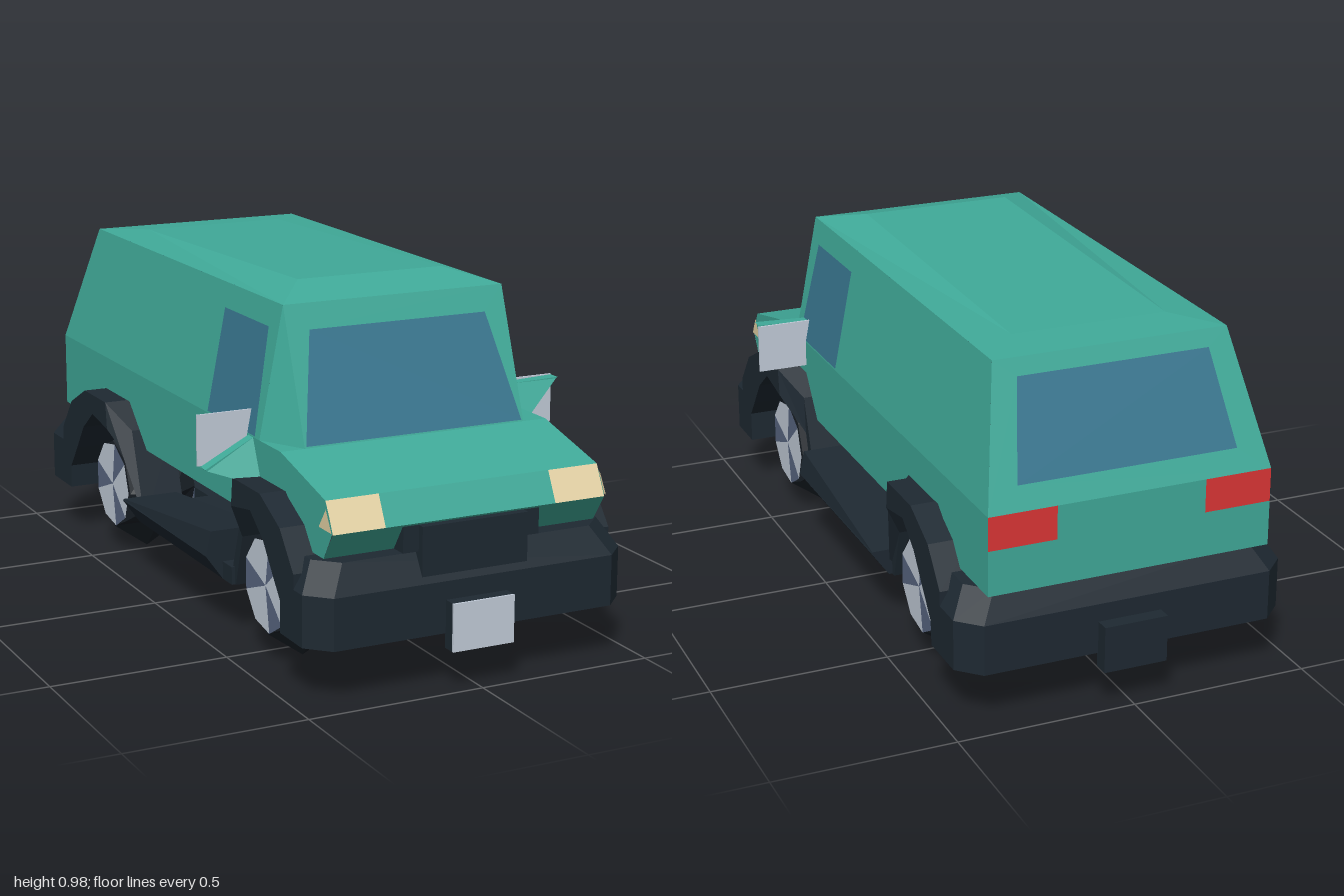
import * as THREE from 'three';

const mat = (name, color, side = THREE.FrontSide) => {
  const m = new THREE.MeshStandardMaterial({ color, side });
  m.name = name;
  return m;
};

export function createModel() {
  const van = new THREE.Group();
  van.name = 'van';
  const teal = mat('teal paint', 0x40aa99, THREE.DoubleSide);
  const glass = mat('blue glass', 0x397790, THREE.DoubleSide);
  const trim = mat('dark trim', 0x1e2932);
  const rubber = mat('tyre rubber', 0x1a2128);
  const silver = mat('silver', 0xc4cedb, THREE.DoubleSide);
  const slate = mat('slate', 0x5a6884, THREE.DoubleSide);
  const beige = mat('headlight beige', 0xe8d6a8, THREE.DoubleSide);
  const red = mat('tail light red', 0xdc3636, THREE.DoubleSide);

  const add = (name, geometry, material, parent = van) => {
    const mesh = new THREE.Mesh(geometry, material);
    mesh.name = name;
    parent.add(mesh);
    return mesh;
  };

  // Flat-shaded faces from convex polygons, each turned away from a centre point
  const faces = (polys, centre) => {
    const pos = [];
    for (const poly of polys) {
      const p = poly.map((q) => new THREE.Vector3(...q));
      for (let i = 1; i < p.length - 1; i++) {
        const tri = [p[0], p[i], p[i + 1]];
        const n = p[i].clone().sub(p[0]).cross(p[i + 1].clone().sub(p[0]));
        const mid = p[0].clone().add(p[i]).add(p[i + 1]).divideScalar(3).sub(centre);
        if (n.dot(mid) < 0) tri.reverse();
        tri.forEach((v) => pos.push(v.x, v.y, v.z));
      }
    }
    const g = new THREE.BufferGeometry();
    g.setAttribute('position', new THREE.Float32BufferAttribute(pos, 3));
    g.computeVertexNormals();
    return g;
  };

  // Quads joining two outlines of equal point count
  const band = (a, b) => a.map((q, i) => {
    const j = (i + 1) % a.length;
    return [q, a[j], b[j], b[i]];
  });

  // Convex solid through rings of equal point count, with end caps
  const loft = (rings) => {
    const centre = new THREE.Vector3();
    rings.flat().forEach((q) => centre.add(new THREE.Vector3(...q)));
    centre.divideScalar(rings.flat().length);
    const polys = [rings[0], rings[rings.length - 1]];
    for (let r = 0; r < rings.length - 1; r++) polys.push(...band(rings[r], rings[r + 1]));
    return faces(polys, centre);
  };

  const core = new THREE.Vector3(0, 0.5, 0);
  const flip = (poly) => poly.map(([x, y, z]) => [-x, y, z]);
  const panels = (name, material, polys) => add(name, faces(polys, core), material);
  const pair = (name, material, polys) => panels(name, material, [...polys, ...polys.map(flip)]);
  // Symmetric panel across the body from its left half edge
  const across = (half) => [...half, ...flip(half).reverse()];

  // Surfaces of the sloping cabin walls at height y
  const sideX = (y) => 0.4 - (y - 0.588) * 0.196;
  const frontZ = (y) => 0.63 - (y - 0.588) * 0.364;
  const backZ = (y) => -0.96 + (y - 0.588) * 0.392;
  const onSide = (zy, x = 0.4) => zy.map(([z, y]) => [x, y, z]);

  // Lower body sides, cut away over the wheels
  pair('lowerSides', teal, [
    [[-0.96, 0.49], [0.91, 0.49], [0.89, 0.525], [0.63, 0.588], [-0.96, 0.588]],
    [[-0.29, 0.37], [0.33, 0.37], [0.42, 0.49], [-0.42, 0.49]],
    [[-0.96, 0.37], [-0.78, 0.37], [-0.63, 0.49], [-0.96, 0.49]],
    [[0.8, 0.37], [0.88, 0.37], [0.93, 0.45], [0.91, 0.49], [0.66, 0.49]],
  ].map((p) => onSide(p)));
  panels('bonnetAndNose', teal, [
    across([[0.4, 0.588, 0.5], [0.4, 0.588, 0.63]]),
    across([[0.4, 0.588, 0.63], [0.4, 0.525, 0.89]]),
    across([[0.25, 0.525, 0.89], [0.25, 0.445, 0.93]]),
    across([[0.4, 0.445, 0.93], [0.4, 0.37, 0.88]]),
  ]);

  // Cabin shell, with openings filled by flush glass
  const sideGlass = [[0.16, 0.592], [0.47, 0.592], [0.44, 0.878], [0.16, 0.878]].map(([z, y]) => [sideX(y), y, z]);
  const sideEdge = [[-0.96, 0.588], [0.5, 0.588], [0.5, 0.945], [-0.82, 0.945]].map(([z, y]) => [sideX(y), y, z]);
  pair('upperSides', teal, [
    ...band(sideEdge, sideGlass),
    [[0.4, 0.588, 0.5], [0.33, 0.588, 0.63], [0.33, 0.945, 0.5]],
  ]);
  pair('sideWindows', glass, [sideGlass]);

  const frontGlass = across([[0.325, 0.592, frontZ(0.592)], [0.265, 0.878, frontZ(0.878)]]);
  panels('windscreenFrame', teal, band(across([[0.33, 0.588, 0.63], [0.33, 0.945, 0.5]]), frontGlass));
  panels('windscreen', glass, [frontGlass]);

  const rearGlass = across([[0.31, 0.65, backZ(0.65)], [0.27, 0.9, backZ(0.9)]]);
  panels('rearFrame', teal, band(across([[0.4, 0.588, -0.96], [0.33, 0.945, -0.82]]), rearGlass));
  panels('rearWindow', glass, [rearGlass]);
  panels('rearPanel', teal, [
    across([[0.4, 0.37, -0.96], [0.4, 0.495, -0.96]]),
    across([[0.21, 0.495, -0.96], [0.21, 0.588, -0.96]]),
  ]);

  pair('roofSides', teal, [[[0.33, 0.945, 0.5], [0.33, 0.945, -0.82], [0.22, 0.955, -0.69], [0.22, 0.98, 0.36]]]);
  panels('roof', teal, [
    across([[0.22, 0.98, 0.36], [0.22, 0.955, -0.69]]),
    across([[0.33, 0.945, 0.5], [0.22, 0.98, 0.36]]),
    across([[0.33, 0.945, -0.82], [0.22, 0.955, -0.69]]),
  ]);

  // Lamps
  pair('headlights', beige, [
    [[0.25, 0.525, 0.89], [0.4, 0.525, 0.89], [0.4, 0.445, 0.93], [0.25, 0.445, 0.93]],
    onSide([[0.932, 0.45], [0.86, 0.45], [0.9, 0.505]], 0.404),
  ]);
  pair('tailLights', red, [[[0.21, 0.495, -0.96], [0.4, 0.495, -0.96], [0.4, 0.588, -0.96], [0.21, 0.588, -0.96]]]);

  // Boxes: grille, floor and number plates
  const box = (name, material, [w, h, d], [x, y, z]) =>
    add(name, new THREE.BoxGeometry(w, h, d), material).position.set(x, y, z);
  box('grille', trim, [0.31, 0.15, 0.14], [0, 0.365, 0.88]);
  box('grilleSurround', trim, [0.4, 0.07, 0.08], [0, 0.405, 0.89]);
  box('floor', trim, [0.84, 0.05, 0.67], [0, 0.175, 0.025]);
  box('floorSpine', trim, [0.39, 0.05, 1.8], [0, 0.175, 0]);
  box('frontPlateHolder', trim, [0.18, 0.13, 0.036], [0, 0.175, 0.976]);
  box('frontPlate', silver, [0.18, 0.13, 0.006], [0, 0.175, 0.997]);
  box('rearPlateHolder', trim, [0.18, 0.13, 0.045], [0, 0.175, -0.9775]);

  // Bumpers with clipped corners and a sloping top
  for (const s of [1, -1]) {
    const ring = (y, inset) => [[0.47, 0.77], [0.47, 0.9], [0.41, 0.96]]
      .flatMap(([x, z]) => [[x - inset, y, z - inset], [inset - x, y, z - inset]])
      .sort((a, b) => Math.atan2(a[2] - 0.83, a[0]) - Math.atan2(b[2] - 0.83, b[0]))
      .map(([x, yy, z]) => [x, yy, z * s]);
    add(s > 0 ? 'frontBumper' : 'rearBumper', loft([ring(0.15, 0), ring(0.29, 0), ring(0.365, 0.045)]), trim);
  }

  // Wheel arch profile as (distance from axle towards the van's end, y)
  const arch = [[-0.24, 0.15], [-0.15, 0.41], [-0.09, 0.49], [0.08, 0.49], [0.2, 0.43], [0.28, 0.33], [0.28, 0.15],
    [0.22, 0.15], [0.215, 0.22], [0.16, 0.29], [0.1, 0.37], [0.02, 0.43], [-0.1, 0.41], [-0.16, 0.3], [-0.205, 0.15]];
  const wheelArch = (s, z, dir) => {
    const shape = new THREE.Shape(arch.map(([a, y]) => new THREE.Vector2(a * dir, y)));
    const g = new THREE.ExtrudeGeometry(shape, { depth: 0.13, bevelEnabled: false });
    g.rotateY(-Math.PI / 2).translate(s > 0 ? 0.47 : -0.34, 0, 0);
    // The leg nearest the sill tucks inwards
    const p = g.attributes.position;
    for (let i = 0; i < p.count; i++) {
      if (p.getZ(i) * dir < -0.12) p.setX(i, p.getX(i) - s * 0.06);
    }
    g.computeVertexNormals();
    add('wheelArch', g, trim).position.z = z;
  };

  // Wheel: tyre peaks along its middle, with two-tone segmented caps
  const circle = (x, radius) => Array.from({ length: 8 }, (_, i) => {
    const a = (i * Math.PI) / 4;
    const r = radius(i);
    return [x, r * Math.sin(a), r * Math.cos(a)];
  });
  const tyre = loft([
    circle(-0.105, () => 0.135),
    circle(0, (i) => (i % 2 ? 0.145 : 0.21)),
    circle(0.105, () => 0.135),
  ]);
  const wheel = (s, z) => {
    const g = new THREE.Group();
    g.name = 'wheel';
    g.position.set(0.308 * s, 0.21, z);
    add('tyre', tyre, rubber, g);
    for (const x of [-0.109, 0.109]) {
      const cap = new THREE.CircleGeometry(0.13, 9);
      for (let i = 0; i < 9; i++) cap.addGroup(i * 3, 3, i % 3 === 1 ? 1 : 0);
      const mesh = add('hubcap', cap, [silver, slate], g);
      mesh.rotation.y = Math.sign(x) * Math.PI / 2;
      mesh.position.x = x;
    }
    van.add(g);
  };

  for (const s of [1, -1]) {
    for (const [z, dir] of [[0.57, 1], [-0.53, -1]]) {
      wheelArch(s, z, dir);
      wheel(s, z);
    }

    // Sill: tucked under below, taller towards the front
    const sillRing = (z, top, x) => [[0.42, 0.15], [0.47, 0.22], [x, top], [0.3, top], [0.3, 0.15]]
      .map(([px, y]) => [px * s, y, z]);
    add('sill', loft([sillRing(0.3, 0.29, 0.455), sillRing(-0.31, 0.225, 0.468)]), trim);

    // Door mirror: silver plate on a pointed housing
    box('mirrorPlate', silver, [0.16, 0.14, 0.006], [0.465 * s, 0.585, 0.42]);
    const tip = s > 0 ? 0.655 : 0.515;
    const inner = s > 0 ? [0.65, 0.53] : [0.595, 0.46];
    add('mirrorHousing', loft([
      [[0.385 * s, inner[0], 0.43], [0.385 * s, inner[0], 0.46], [0.385 * s, inner[1], 0.52], [0.385 * s, inner[1], 0.43]],
      [[0.54 * s, tip, 0.43], [0.54 * s, tip, 0.465], [0.535 * s, tip - 0.004, 0.465], [0.535 * s, tip - 0.004, 0.43]],
    ]), teal);
  }
  return van;
}
